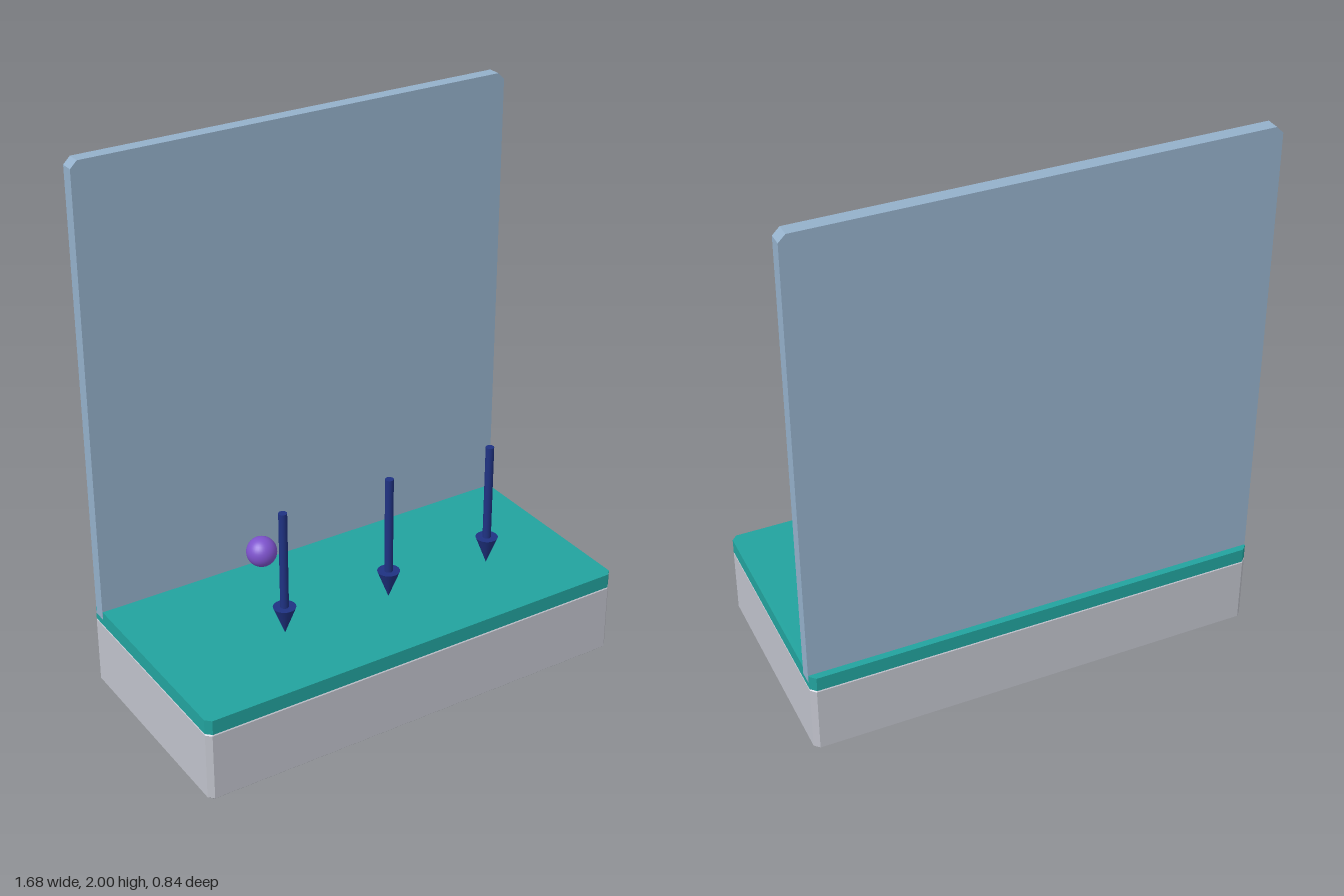
import * as THREE from 'three';

const material = (name, color) => new THREE.MeshStandardMaterial({ name, color });

// Rectangle with cut corners, centred on the origin
function cutRectangle(w, h, c) {
  const x = w / 2, y = h / 2;
  return new THREE.Shape([
    [-x + c, -y], [x - c, -y], [x, -y + c], [x, y - c],
    [x - c, y], [-x + c, y], [-x, y - c], [-x, -y + c],
  ].map(([a, b]) => new THREE.Vector2(a, b)));
}

// Centred plate extruded along z, with an optional small edge bevel
function plate(w, h, depth, cut, bevel = 0) {
  const geometry = new THREE.ExtrudeGeometry(cutRectangle(w - 2 * bevel, h - 2 * bevel, cut), {
    depth: depth - 2 * bevel, bevelEnabled: bevel > 0,
    bevelSize: bevel, bevelThickness: bevel, bevelSegments: 1,
  });
  return geometry.translate(0, 0, bevel - depth / 2);
}

export function createModel() {
  const model = new THREE.Group();
  model.name = 'model';
  const grey = material('baseGrey', 0xc0c2cb);
  const teal = material('slabTeal', 0x22a39e);
  const blue = material('panelBlue', 0x94b0ca);
  const navy = material('arrowNavy', 0x1f3282);
  const purple = material('ballPurple', 0x7d52cc);

  const add = (name, geometry, mat, x, y, z, parent = model) => {
    const mesh = new THREE.Mesh(geometry, mat);
    mesh.name = name;
    mesh.position.set(x, y, z);
    parent.add(mesh);
    return mesh;
  };

  // Base block and the slab on top of it
  add('base', plate(1.68, 0.84, 0.265, 0.015, 0.006).rotateX(-Math.PI / 2), grey, 0, 0.1325, 0);
  add('topSlab', plate(1.68, 0.84, 0.055, 0.02).rotateX(-Math.PI / 2), teal, 0, 0.2925, 0);

  // Upright back panel, sunk into the slab
  add('backPanel', plate(1.682, 1.735, 0.05, 0.025), blue, 0, 1.1325, -0.37);

  // Three arrows pointing down
  const shaft = new THREE.CylinderGeometry(0.015, 0.015, 0.37, 20);
  const head = new THREE.ConeGeometry(0.04, 0.105, 24).rotateX(Math.PI);
  for (const x of [-0.42, 0, 0.42]) {
    const arrow = new THREE.Group();
    arrow.name = 'arrow';
    arrow.position.set(x, 0, 0.21);
    add('arrowShaft', shaft, navy, 0, 0.685, 0, arrow);
    add('arrowHead', head, navy, 0, 0.4525, 0, arrow);
    model.add(arrow);
  }

  // Floating ball beside the first arrow
  add('ball', new THREE.SphereGeometry(0.052, 32, 20), purple, -0.473, 0.713, 0.157);

  return model;
}
